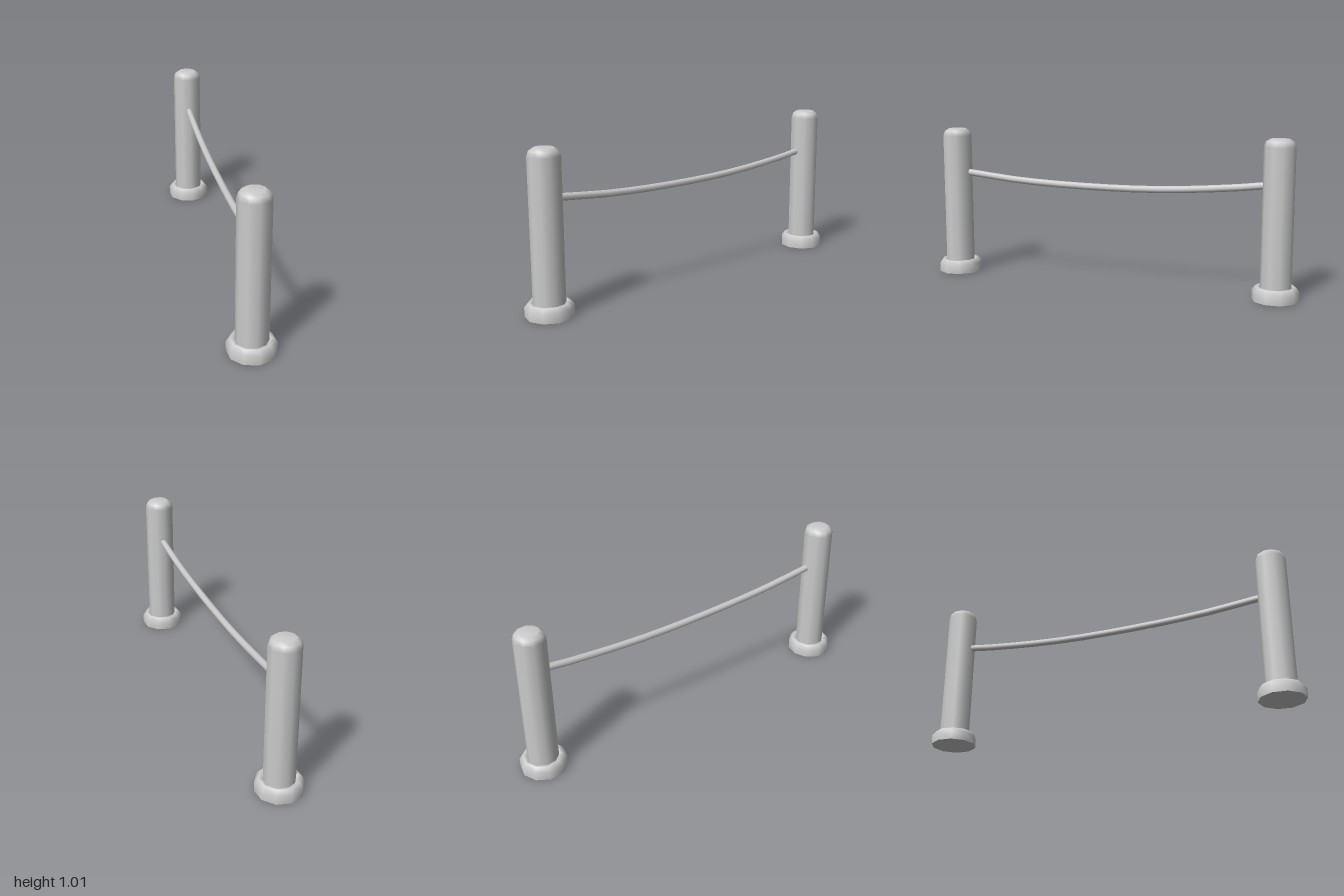
import * as THREE from 'three';

const SIDES = 10;

export function createModel() {
  const group = new THREE.Group();
  const material = new THREE.MeshStandardMaterial({ color: 0xcccccc });

  const lathe = (points) =>
    new THREE.LatheGeometry(points.map(([r, y]) => new THREE.Vector2(r, y)), SIDES);
  const add = (parent, geometry, name) => {
    const mesh = new THREE.Mesh(geometry, material);
    mesh.name = name;
    parent.add(mesh);
    return mesh;
  };

  // Post with a rounded top, standing in a bevelled foot
  const shaft = lathe([[0.099, 0.04], [0.099, 0.965], [0.087, 0.998], [0.06, 1.015], [0, 1.015]]);
  const foot = lathe([[0.149, 0], [0.15, 0.06], [0.127, 0.088], [0.11, 0.088], [0.095, 0.075]]);
  const underside = lathe([[0, 0], [0.149, 0]]);

  const posts = [['leftPost', 0.744, -0.85], ['rightPost', -0.748, 0.847]];
  for (const [name, x, z] of posts) {
    const post = new THREE.Group();
    post.name = name;
    post.position.set(x, 0, z);
    add(post, shaft, 'shaft');
    add(post, foot, 'foot');
    add(post, underside, 'footUnderside');
    group.add(post);
  }

  // Sagging rope, running diagonally between the posts
  const sag = [[-0.7, 0.711], [-0.42, 0.671], [-0.06, 0.654], [0.26, 0.662], [0.58, 0.701], [0.7, 0.724]];
  const path = new THREE.CatmullRomCurve3(
    sag.map(([x, y]) => new THREE.Vector3(x, y, -1.137 * x - 0.003)));
  add(group, new THREE.TubeGeometry(path, 12, 0.023, 8), 'rope');

  return group;
}
